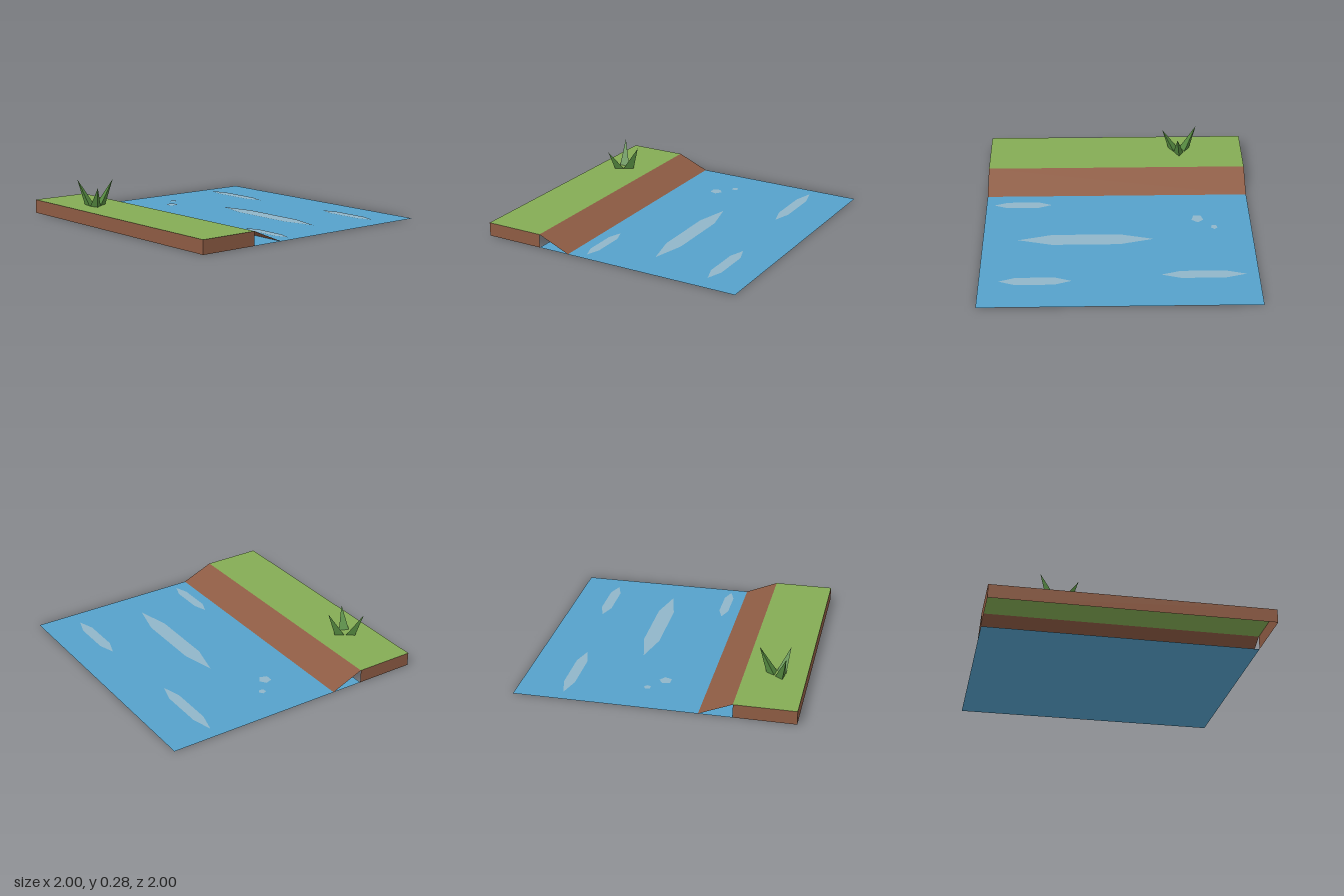
import * as THREE from 'three';

function mat(name, color, doubleSided = true) {
  const m = new THREE.MeshStandardMaterial({ color });
  m.name = name;
  if (doubleSided) m.side = THREE.DoubleSide;
  return m;
}

// Flat quad from four corners, counter-clockwise seen from its front
function quad(a, b, c, d) {
  const g = new THREE.BufferGeometry();
  g.setAttribute('position', new THREE.Float32BufferAttribute([a, b, c, a, c, d].flat(), 3));
  g.computeVertexNormals();
  return g;
}

// Flat outline of [x, z] points lying at height y, facing up
function flatShape(points, y) {
  const shape = new THREE.Shape(points.map(([x, z]) => new THREE.Vector2(x, -z)));
  return new THREE.ShapeGeometry(shape).rotateX(-Math.PI / 2).translate(0, y, 0);
}

// Leaning three-sided blade rising from the lawn
function blade(base, tip, y) {
  const b = base.map(([x, z]) => [x, y, z]);
  const pos = [];
  for (let i = 0; i < 3; i++) pos.push(b[i], b[(i + 1) % 3], tip);
  const g = new THREE.BufferGeometry();
  g.setAttribute('position', new THREE.Float32BufferAttribute(pos.flat(), 3));
  g.computeVertexNormals();
  return g;
}

export function createModel() {
  const group = new THREE.Group();
  const grass = mat('grass green', 0x84ab54);
  const earth = mat('earth brown', 0x8d5b43);
  const water = mat('water blue', 0x56a1ca);
  const foam = mat('foam grey blue', 0x90b5c8);
  const leaf = mat('leaf green', 0x54883f);

  const add = (name, geometry, material, parent = group) => {
    const mesh = new THREE.Mesh(geometry, material);
    mesh.name = name;
    parent.add(mesh);
  };

  const H = 0.1, EDGE = -0.56, SHORE = -0.32;

  // Ground sheets: lawn, sloping bank and river
  add('lawn', quad([-1, H, 1], [EDGE, H, 1], [EDGE, H, -1], [-1, H, -1]), grass);
  add('bankSlope', quad([EDGE, H, 1], [SHORE, 0, 1], [SHORE, 0, -1], [EDGE, H, -1]), earth);
  add('river', quad([EDGE, 0, 1], [1, 0, 1], [1, 0, -1], [EDGE, 0, -1]), water);

  // Earth walls under the lawn, open below and towards the river
  add('frontWall', quad([-1, 0, 1], [EDGE, 0, 1], [EDGE, H, 1], [-1, H, 1]), earth);
  add('backWall', quad([EDGE, 0, -1], [-1, 0, -1], [-1, H, -1], [EDGE, H, -1]), earth);
  add('sideWall', quad([-1, 0, -1], [-1, 0, 1], [-1, H, 1], [-1, H, -1]), earth);

  // Pointed ripples: x, half width, then z of tip, shoulder, shoulder, tip
  const ripples = new THREE.Group();
  ripples.name = 'ripples';
  group.add(ripples);
  for (const [x, w, z0, z1, z2, z3] of [
    [0.24, 0.06, -0.26, -0.01, 0.49, 0.74],
    [0.66, 0.04, -0.91, -0.76, -0.44, -0.3],
    [0.72, 0.04, 0.34, 0.46, 0.74, 0.86],
    [-0.2, 0.035, 0.5, 0.6, 0.84, 0.94],
  ]) {
    const outline = [[x, z3], [x + w, z2], [x + w, z1], [x, z0], [x - w, z1], [x - w, z2]];
    add('ripple', flatShape(outline, 0.003), foam, ripples);
  }

  // Five-sided bubbles
  for (const [x, z, r] of [[-0.005, -0.6, 0.047], [0.1, -0.72, 0.027]]) {
    add('bubble', new THREE.CircleGeometry(r, 5).rotateX(-Math.PI / 2).translate(x, 0.004, z), foam, ripples);
  }

  // Tuft of three blades
  const tuft = new THREE.Group();
  tuft.name = 'grassTuft';
  group.add(tuft);
  for (const [base, tip] of [
    [[[-0.77, -0.535], [-0.78, -0.46], [-0.71, -0.5]], [-0.655, 0.285, -0.48]],
    [[[-0.85, -0.49], [-0.835, -0.42], [-0.78, -0.46]], [-0.865, 0.25, -0.37]],
    [[[-0.78, -0.545], [-0.835, -0.585], [-0.845, -0.51]], [-0.865, 0.285, -0.635]],
  ]) add('blade', blade(base, tip, H), leaf, tuft);

  return group;
}
